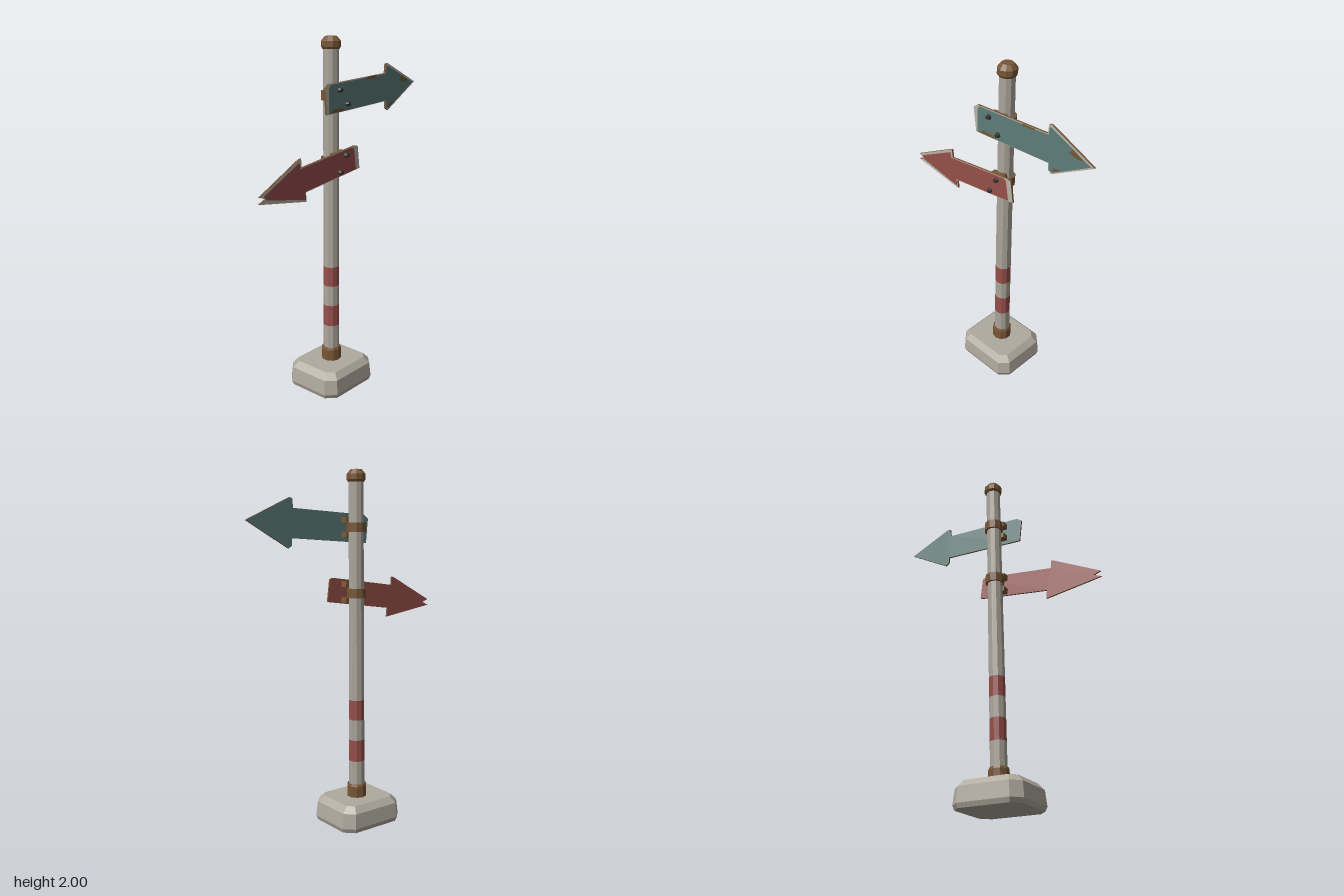
import * as THREE from 'three';

const mat = (name, color, extra = {}) =>
  Object.assign(new THREE.MeshStandardMaterial({ color, flatShading: true, ...extra }), { name });

export function createModel() {
  const model = new THREE.Group();
  model.name = 'signpost';
  const concrete = mat('concrete', 0xb0aa9e);
  const paint = mat('off-white paint', 0xaca69b);
  const red = mat('red paint', 0x964f4a);
  const teal = mat('teal paint', 0x5d7c79);
  const rust = mat('rusty metal', 0x785636);
  const bolt = mat('dark bolt', 0x35322e);
  const white = mat('sign border', 0xbab4a6);

  const add = (parent, name, geo, material, x = 0, y = 0, z = 0) => {
    const m = new THREE.Mesh(geo, material);
    m.name = name;
    m.position.set(x, y, z);
    parent.add(m);
    return m;
  };

  // Concrete foot: stacked octagonal sections [y, halfX, halfZ, corner cut]
  const sections = [[0, 0.195, 0.172, 0.05], [0.025, 0.204, 0.181, 0.052],
    [0.11, 0.195, 0.174, 0.05], [0.145, 0.162, 0.144, 0.034]];
  const pos = [], idx = [];
  for (const [y, a, b, c] of sections) {
    for (const [x, z] of [[a, b - c], [a - c, b], [c - a, b], [-a, b - c],
      [-a, c - b], [c - a, -b], [a - c, -b], [a, c - b]]) pos.push(x, y, z);
  }
  for (let s = 0; s < 3; s++) {
    for (let i = 0; i < 8; i++) {
      const p = s * 8 + i, q = s * 8 + (i + 1) % 8;
      idx.push(p, p + 8, q, q, p + 8, q + 8);
    }
  }
  for (let i = 1; i < 7; i++) idx.push(0, i, i + 1, 24, 24 + i + 1, 24 + i);
  const foot = new THREE.BufferGeometry();
  foot.setAttribute('position', new THREE.Float32BufferAttribute(pos, 3));
  foot.setIndex(idx);
  foot.computeVertexNormals();
  add(model, 'foot', foot, concrete, -0.037, 0, 0);

  // Leaning post, split into painted bands
  const post = new THREE.Group();
  post.name = 'post';
  post.position.set(-0.035, 0, 0);
  post.rotation.set(-0.012, 0, -0.0135);
  model.add(post);
  const SIDES = 10;
  const radius = (y) => 0.047 - 0.0025 * y;
  const levels = [0.12, 0.36, 0.485, 0.605, 0.72, 1.95];
  for (let i = 0; i < 5; i++) {
    const a = levels[i], b = levels[i + 1];
    add(post, i % 2 ? 'redBand' : 'postSection',
      new THREE.CylinderGeometry(radius(b), radius(a), b - a, SIDES, 1, true),
      i % 2 ? red : paint, 0, (a + b) / 2, 0);
  }

  // Rusty metal fittings around the post
  const ring = (name, profile) => add(post, name,
    new THREE.LatheGeometry(profile.map(([r, y]) => new THREE.Vector2(r, y)), SIDES), rust);
  ring('baseCollar', [[0.057, 0.14], [0.057, 0.21], [0.052, 0.222], [0.04, 0.222]]);
  ring('cap', [[0, 1.933], [0.045, 1.933], [0.053, 1.945], [0.053, 1.975], [0.032, 2], [0, 2]]);
  for (const y of [1.69, 1.33]) {
    ring('clamp', [[0.04, y - 0.026], [0.055, y - 0.026], [0.055, y + 0.026], [0.04, y + 0.026]]);
  }

  const outline = (pts) => new THREE.Shape(pts.map(([x, y]) => new THREE.Vector2(x, y)));

  // Arrow board: rusty edge, painted back, pale front border, painted panel, brackets and bolts
  const sign = (name, color, z, border, panel, bolts, tilt, chips) => {
    const g = new THREE.Group();
    g.name = name;
    g.position.z = z;
    model.add(g);
    const depth = 0.01;
    add(g, 'board', new THREE.ExtrudeGeometry(outline(border),
      { depth, bevelEnabled: false }), [color, rust]);
    add(g, 'border', new THREE.ShapeGeometry(outline(border)), white, 0, 0, depth + 0.001);
    add(g, 'panel', new THREE.ShapeGeometry(outline(panel)), color, 0, 0, depth + 0.002);
    for (const c of chips) {
      add(g, 'rustChip', new THREE.ShapeGeometry(outline(c)), rust, 0, 0, depth + 0.003);
    }
    for (const [x, y] of bolts) {
      add(g, 'bracket', new THREE.BoxGeometry(0.09, 0.032, 0.045), rust,
        -0.015, y, -0.0225).rotation.z = tilt;
      const head = new THREE.CylinderGeometry(0.01, 0.016, 0.018, 8);
      head.rotateX(Math.PI / 2);
      add(g, 'bolt', head, bolt, x, y, depth + 0.01);
    }
  };

  sign('upperSign', teal, 0.058,
    [[-0.145, 1.603], [0.357, 1.631], [0.357, 1.592], [0.378, 1.577], [0.632, 1.722],
      [0.368, 1.843], [0.352, 1.838], [0.347, 1.788], [-0.13, 1.762], [-0.159, 1.741]],
    [[-0.132, 1.606], [0.36, 1.634], [0.362, 1.593], [0.385, 1.588], [0.612, 1.72],
      [0.374, 1.826], [0.358, 1.828], [0.352, 1.784], [-0.118, 1.758], [-0.13, 1.735]],
    [[-0.045, 1.727], [0.019, 1.648]], 0.05,
    [[[0.175, 1.767], [0.255, 1.77], [0.27, 1.783], [0.19, 1.779]],
      [[-0.115, 1.608], [0, 1.614], [-0.01, 1.628], [-0.09, 1.63]],
      [[0.48, 1.74], [0.54, 1.727], [0.57, 1.737], [0.5, 1.766]],
      [[0.38, 1.6], [0.41, 1.605], [0.435, 1.625], [0.4, 1.622]]]);

  sign('lowerSign', red, 0.06,
    [[0.124, 1.28], [-0.312, 1.222], [-0.307, 1.171], [-0.322, 1.173], [-0.64, 1.222],
      [-0.595, 1.242], [-0.638, 1.257], [-0.36, 1.402], [-0.345, 1.406], [-0.341, 1.357],
      [0.085, 1.413], [0.108, 1.407]],
    [[0.092, 1.279], [-0.317, 1.226], [-0.312, 1.182], [-0.595, 1.236],
      [-0.61, 1.257], [-0.358, 1.386], [-0.35, 1.352], [0.05, 1.405], [0.075, 1.398]],
    [[0.006, 1.372], [-0.042, 1.284]], 0.13, []);

  return model;
}
